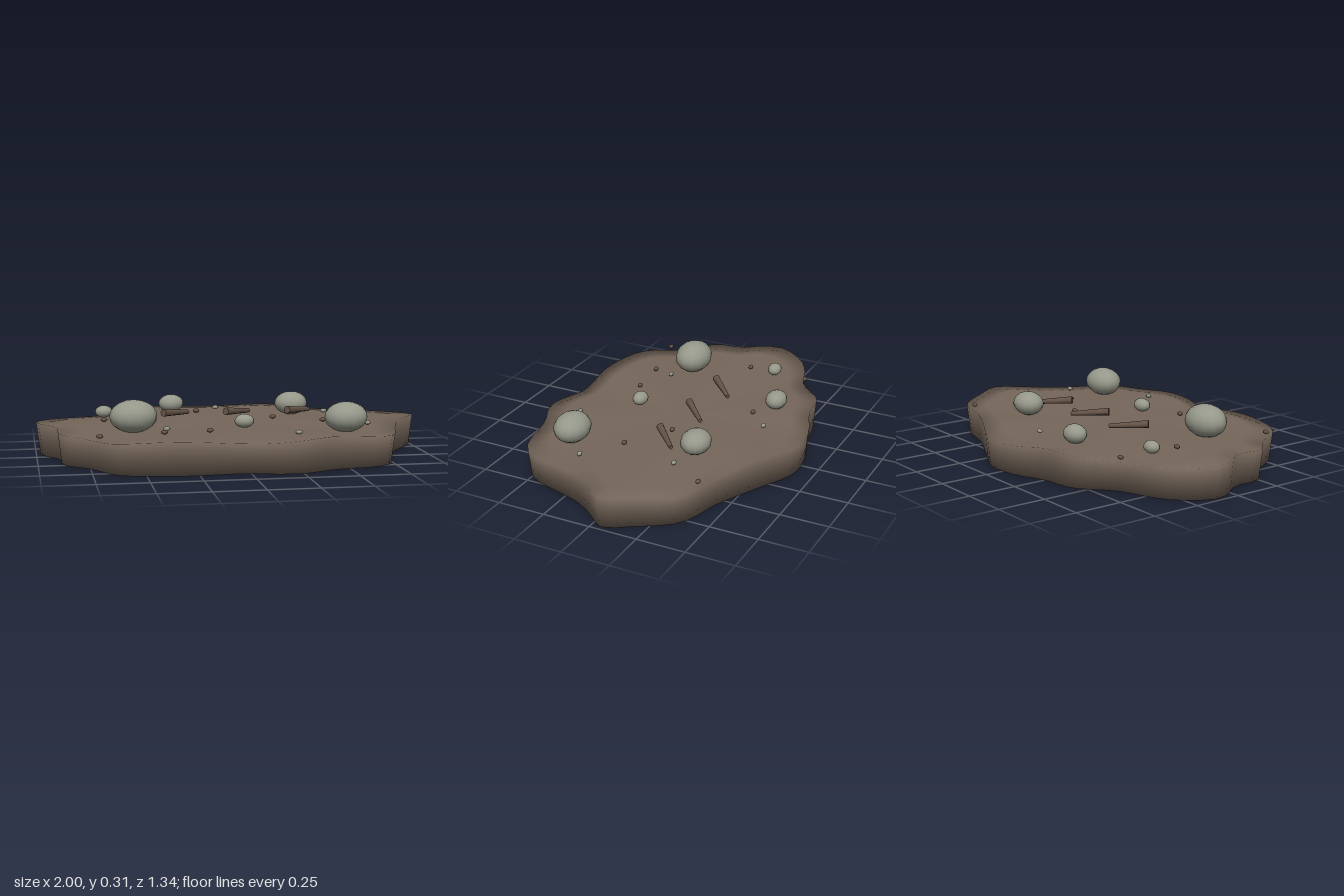
import * as THREE from 'three';

const mat = (name, color) => {
  const m = new THREE.MeshStandardMaterial({ color });
  m.name = name;
  return m;
};

// Wavy plan outline as (x, z), running from the right side round the back
const OUTLINE = [
  [1, -0.05], [0.92, -0.2], [0.82, -0.35], [0.74, -0.4], [0.56, -0.45], [0.35, -0.55],
  [0.11, -0.665], [0.02, -0.67], [-0.12, -0.645], [-0.25, -0.59], [-0.4, -0.57], [-0.46, -0.55],
  [-0.55, -0.47], [-0.62, -0.41], [-0.81, -0.34], [-0.92, -0.26], [-1, -0.11], [-0.96, 0],
  [-0.9, 0.09], [-0.9, 0.2], [-0.88, 0.27], [-0.78, 0.36], [-0.72, 0.45], [-0.66, 0.55],
  [-0.57, 0.6], [-0.29, 0.64], [-0.1, 0.625], [0, 0.625], [0.09, 0.655], [0.18, 0.67],
  [0.28, 0.66], [0.43, 0.59], [0.64, 0.555], [0.72, 0.51], [0.76, 0.44], [0.81, 0.27],
  [0.86, 0.14], [0.93, 0.04],
];

// Slab from scaled outline rings, closed by a centre point below and above
function slabGeometry() {
  const n = 76;
  const curve = new THREE.CatmullRomCurve3(
    OUTLINE.map(([x, z]) => new THREE.Vector3(x, 0, z)), true, 'centripetal');
  const loop = curve.getSpacedPoints(n).slice(0, n);
  // [scale, height, wave amount]
  const rings = [[0.98, 0, 0], [1, 0.157, 0.01], [0.86, 0.16, 0.007], [0.5, 0.158, 0.002]];
  const pos = [0, 0, 0];
  for (const [s, y, wave] of rings) {
    for (const p of loop) {
      const a = Math.atan2(p.z, p.x);
      pos.push(p.x * s, y + wave * Math.cos(6 * a), p.z * s);
    }
  }
  pos.push(0, 0.158, 0);
  const last = 1 + rings.length * n;
  const at = (r, i) => 1 + r * n + (i % n);
  const index = [];
  for (let i = 0; i < n; i++) {
    index.push(0, at(0, i + 1), at(0, i));
    for (let r = 0; r < rings.length - 1; r++) {
      index.push(at(r, i), at(r, i + 1), at(r + 1, i + 1));
      index.push(at(r, i), at(r + 1, i + 1), at(r + 1, i));
    }
    index.push(at(rings.length - 1, i), at(rings.length - 1, i + 1), last);
  }
  const g = new THREE.BufferGeometry();
  g.setAttribute('position', new THREE.Float32BufferAttribute(pos, 3));
  g.setIndex(index);
  g.computeVertexNormals();
  return g;
}

export function createModel() {
  const soil = mat('soil brown', 0x75665a);
  const stone = mat('stone grey', 0x96988a);
  const wood = mat('wood brown', 0x655347);
  const group = new THREE.Group();
  group.name = 'groundPatch';
  const add = (name, geometry, material) => {
    const m = new THREE.Mesh(geometry, material);
    m.name = name;
    group.add(m);
    return m;
  };

  add('groundSlab', slabGeometry(), soil);

  // Boulders: x, y, z, then radii
  const ball = new THREE.SphereGeometry(1, 14, 10);
  [
    [-0.525, 0.232, 0.213, 0.12, 0.083, 0.096],
    [0.525, 0.226, 0.367, 0.11, 0.076, 0.09],
    [0.375, 0.216, -0.245, 0.09, 0.062, 0.075],
    [-0.26, 0.207, -0.4, 0.068, 0.048, 0.055],
    [-0.64, 0.195, -0.228, 0.045, 0.032, 0.036],
    [0.03, 0.2, 0.25, 0.05, 0.035, 0.039],
  ].forEach(([x, y, z, rx, ry, rz], i) => {
    const b = add('boulder' + (i + 1), ball, stone);
    b.position.set(x, y, z);
    b.scale.set(rx, ry, rz);
  });

  // Tapered sticks lying in a row
  const up = new THREE.Vector3(0, 1, 0);
  for (let i = 0; i < 3; i++) {
    const x = -0.275 + i * 0.326;
    const thick = new THREE.Vector3(x - 0.073, 0.212, -0.01);
    const thin = new THREE.Vector3(x + 0.073, 0.194, -0.147);
    const dir = thin.clone().sub(thick);
    const s = add('stick' + (i + 1), new THREE.CylinderGeometry(0.011, 0.02, dir.length(), 8), wood);
    s.position.copy(thick).add(thin).multiplyScalar(0.5);
    s.quaternion.setFromUnitVectors(up, dir.normalize());
  }

  // Scattered pebbles
  const pebbleBall = new THREE.SphereGeometry(1, 8, 6);
  const pebbles = (name, material, spots) => spots.forEach(([x, z], i) => {
    const p = add(name + (i + 1), pebbleBall, material);
    p.position.set(x, 0.174, z);
    p.scale.set(0.018, 0.011, 0.012);
  });
  pebbles('brownPebble', wood, [
    [-0.635, -0.41], [-0.132, -0.325], [-0.65, -0.08], [0.235, -0.043], [0.47, 0.103],
    [-0.39, 0.38], [-0.16, 0.355], [-0.71, 0.45], [0.665, -0.4],
  ]);
  pebbles('greyPebble', stone, [
    [-0.01, -0.437], [0.55, -0.213], [-0.365, 0.273], [0.672, 0.24], [0.26, 0.482],
  ]);
  return group;
}
